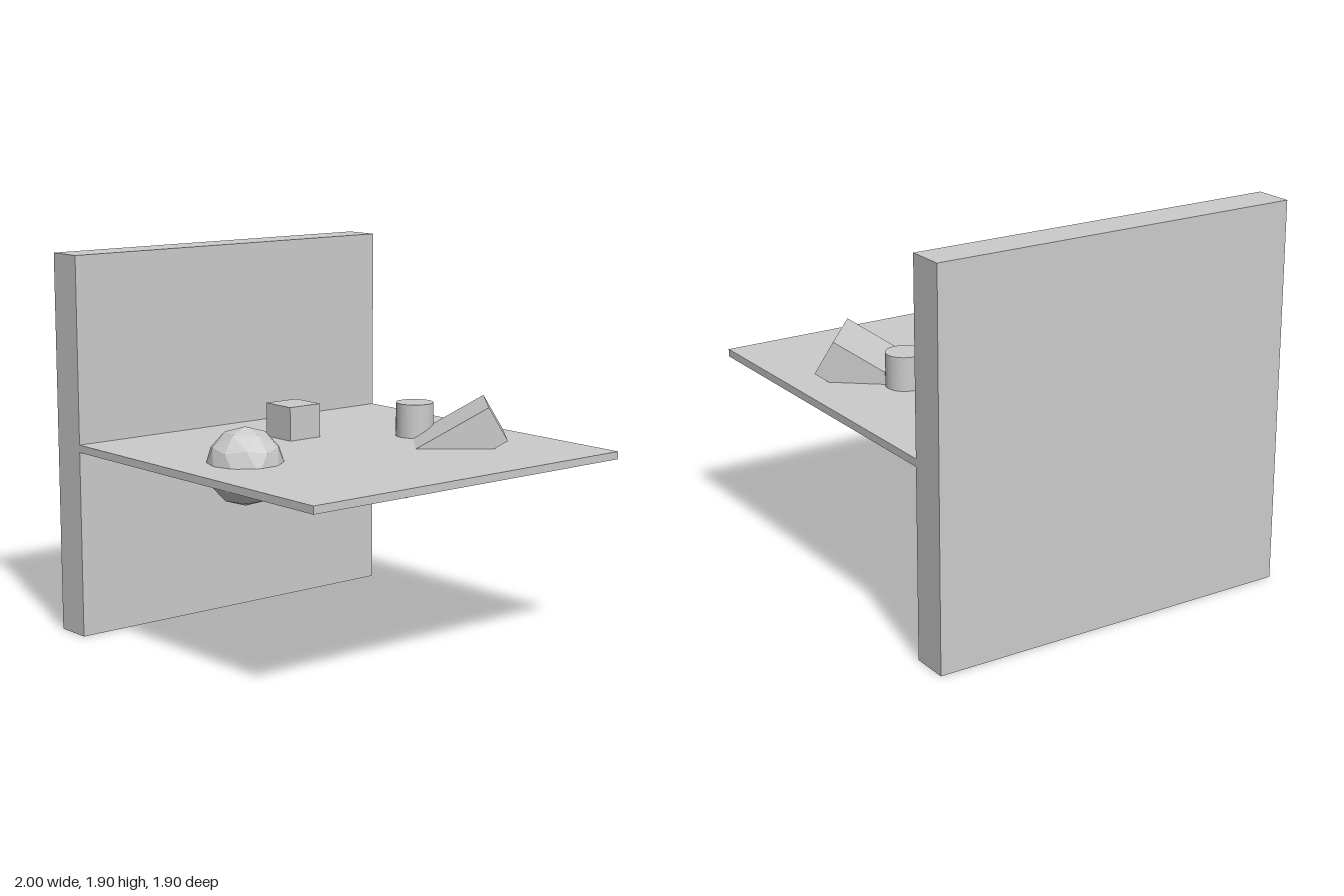
import * as THREE from 'three';

const material = new THREE.MeshStandardMaterial({ color: 0xcccccc, flatShading: true });

export function createModel() {
  const group = new THREE.Group();
  const add = (name, geometry, x, y, z) => {
    const mesh = new THREE.Mesh(geometry, material);
    mesh.name = name;
    mesh.position.set(x, y, z);
    group.add(mesh);
    return mesh;
  };

  // Upright wall with a thin shelf at mid height
  add('wall', new THREE.BoxGeometry(0.19, 1.905, 1.905), -0.905, 0.9525, 0);
  add('shelf', new THREE.BoxGeometry(1.81, 0.038, 1.905), 0.095, 0.955, 0);

  // Small solids sunk into the shelf
  add('cube', new THREE.BoxGeometry(0.19, 0.19, 0.19), -0.32, 1.048, 0);
  add('cylinder', new THREE.CylinderGeometry(0.095, 0.095, 0.19, 32), 0.045, 1.048, -0.49);

  // Faceted ball, turned so that a vertex points straight up
  const ball = new THREE.IcosahedronGeometry(0.19, 1);
  ball.rotateZ(Math.atan(2 / (1 + Math.sqrt(5))));
  ball.rotateY(Math.PI);
  add('ball', ball, 0.046, 0.953, 0.585);

  // Tilted block passing through the shelf
  const block = add('tiltedBlock', new THREE.BoxGeometry(0.38, 0.19, 0.572), 0.28, 0.953, -0.482);
  block.rotation.set(Math.PI / 6, THREE.MathUtils.degToRad(-40), 0, 'YXZ');

  return group;
}
